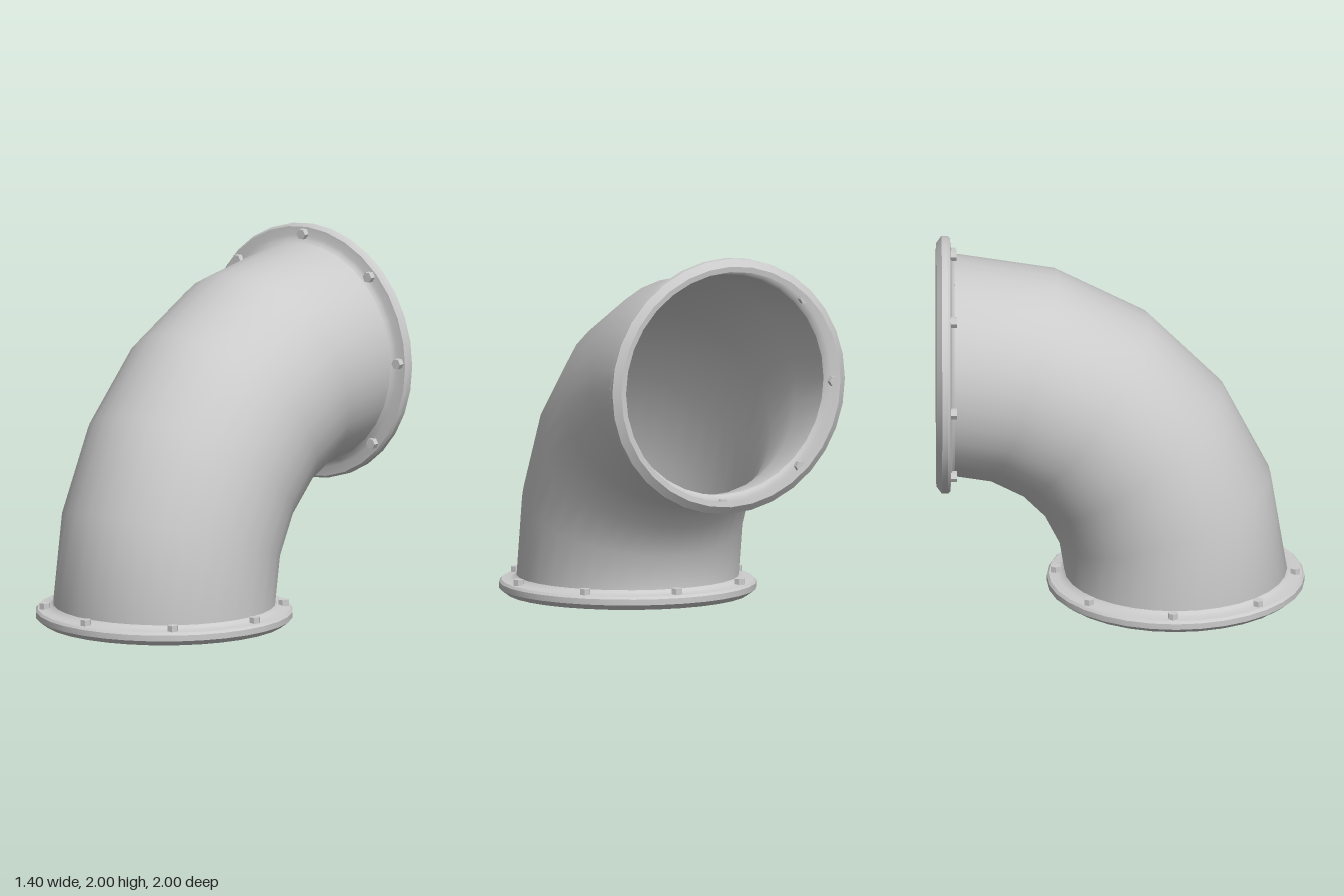
import * as THREE from 'three';
import { toCreasedNormals } from 'three/addons/utils/BufferGeometryUtils.js';

const PIPE_RADIUS = 0.605;
const BEND_RADIUS = 1.2;
const COLLAR = 0.1; // distance from a flange face to the start of the bend

// Quarter-circle centre line, from the lower mouth up to the rear mouth
class BendCurve extends THREE.Curve {
  getPoint(t, target = new THREE.Vector3()) {
    const a = t * Math.PI / 2;
    return target.set(
      0,
      COLLAR + BEND_RADIUS * Math.sin(a),
      -1 + COLLAR + BEND_RADIUS * Math.cos(a)
    );
  }
}

// Hollow flange ring with its bolts; the mouth lies on y = 0, the pipe leaves along +y
function createFlange(name, material, boltPhase) {
  const flange = new THREE.Group();
  flange.name = name;

  const profile = [
    [0.63, 0.004], [0.66, 0], [0.7, 0.03], [0.7, 0.062], [0.688, 0.076],
    [0.64, 0.08], [0.618, 0.087], [PIPE_RADIUS, COLLAR],
  ].map(([r, y]) => new THREE.Vector2(r, y));
  const ring = new THREE.Mesh(
    toCreasedNormals(new THREE.LatheGeometry(profile, 32), 0.6), material);
  ring.name = 'flangeRing';
  flange.add(ring);

  // Eight hexagonal bolts poking through the ring
  const boltGeometry = toCreasedNormals(new THREE.CylinderGeometry(0.03, 0.03, 0.06, 6), 0.5);
  boltGeometry.rotateY(Math.PI / 6);
  for (let i = 0; i < 8; i++) {
    const a = i * Math.PI / 4 + boltPhase;
    const bolt = new THREE.Mesh(boltGeometry, material);
    bolt.name = 'bolt';
    bolt.position.set(0.65 * Math.cos(a), 0.08, 0.65 * Math.sin(a));
    flange.add(bolt);
  }
  return flange;
}

export function createModel() {
  const model = new THREE.Group();
  model.name = 'pipeElbow';
  const material = new THREE.MeshStandardMaterial({ color: 0xcccccc, side: THREE.DoubleSide });

  // Bent pipe in five straight-sided sections
  const pipe = new THREE.Mesh(
    new THREE.TubeGeometry(new BendCurve(), 5, PIPE_RADIUS, 32, false), material);
  pipe.name = 'bentPipe';
  model.add(pipe);

  // Flange at the lower mouth
  const lower = createFlange('lowerFlange', material, 0.026);
  lower.position.z = 0.3;
  model.add(lower);

  // Flange at the rear mouth, turned so the pipe leaves along +z
  const rear = createFlange('rearFlange', material, -0.026);
  rear.rotation.x = Math.PI / 2;
  rear.position.set(0, 1.3, -1);
  model.add(rear);

  return model;
}
